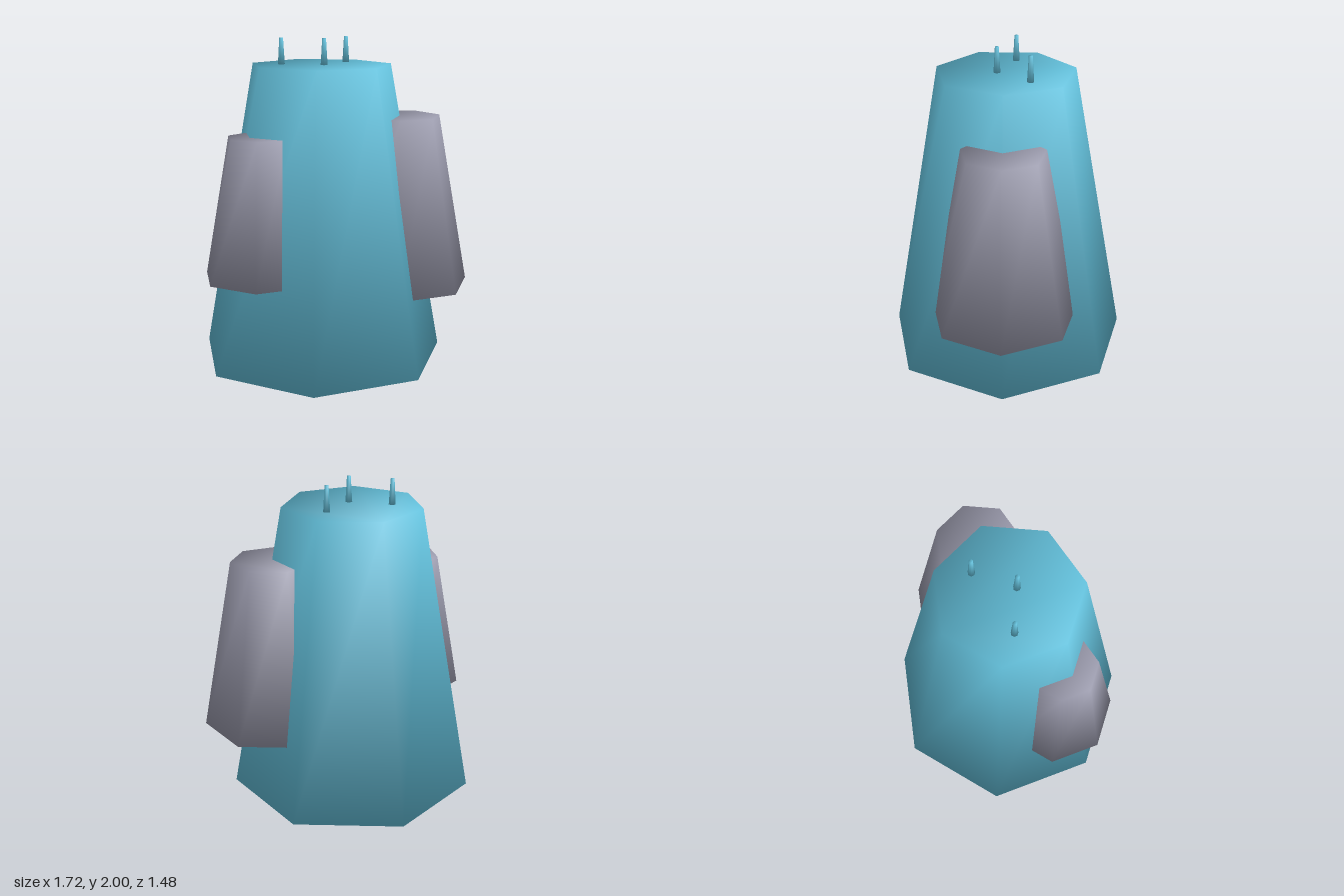
import * as THREE from 'three';

const SIDES = 7;
const HALF = Math.PI / SIDES;

// Closed seven-sided tapered block, one corner pointing to -z.
// Corner normals are shared by walls and caps, so the shading is soft all over.
function taperedBlock(r0, r1, height) {
  const taper = r0 - r1;
  const inset = taper * Math.cos(HALF);
  const wallUp = inset / Math.hypot(inset, height);
  const wallOut = height / Math.hypot(inset, height) * Math.cos(HALF);
  const lowAngle = Math.acos(taper * Math.sin(HALF) / Math.hypot(taper, height));
  const capAngle = Math.PI - 2 * HALF;
  const positions = [], normals = [], index = [];

  const ring = (r, y, wallAngle, capDir) => {
    const n = new THREE.Vector2(2 * wallAngle * wallOut, 2 * wallAngle * wallUp + capDir * capAngle).normalize();
    for (let i = 0; i < SIDES; i++) {
      const a = 2 * HALF * i, s = Math.sin(a), c = -Math.cos(a);
      positions.push(r * s, y, r * c);
      normals.push(n.x * s, n.y, n.x * c);
    }
  };
  ring(r0, 0, lowAngle, -1);
  ring(r1, height, Math.PI - lowAngle, 1);

  for (let i = 0; i < SIDES; i++) {
    const j = (i + 1) % SIDES;
    index.push(j, i, SIDES + i, j, SIDES + i, SIDES + j);
    if (i > 0 && j > 0) {
      index.push(0, i, j, SIDES, SIDES + j, SIDES + i);
    }
  }
  const geometry = new THREE.BufferGeometry();
  geometry.setAttribute('position', new THREE.Float32BufferAttribute(positions, 3));
  geometry.setAttribute('normal', new THREE.Float32BufferAttribute(normals, 3));
  geometry.setIndex(index);
  return geometry;
}

export function createModel() {
  const blue = new THREE.MeshStandardMaterial({ color: 0x63c0db });
  blue.name = 'blue';
  const grey = new THREE.MeshStandardMaterial({ color: 0x9a9aac });
  grey.name = 'grey';

  const model = new THREE.Group();
  model.name = 'model';
  const add = (name, material, r0, r1, height, x, y, z) => {
    const mesh = new THREE.Mesh(taperedBlock(r0, r1, height), material);
    mesh.name = name;
    mesh.position.set(x, y, z);
    model.add(mesh);
  };

  // Main body
  add('body', blue, 0.779, 0.44, 1.84, -0.074, 0, 0.038);

  // Side blocks, sunk into the body
  add('leftBlock', grey, 0.459, 0.259, 1.077, 0.413, 0.438, 0.146);
  add('rightBlock', grey, 0.367, 0.207, 0.86, -0.502, 0.573, 0.144);

  // Three spikes on the flat top
  [[-0.29, -0.07], [0.141, -0.07], [-0.074, 0.092]].forEach(([x, z], i) => {
    add('spike' + (i + 1), blue, 0.022, 0.012, 0.165, x, 1.835, z);
  });

  return model;
}
